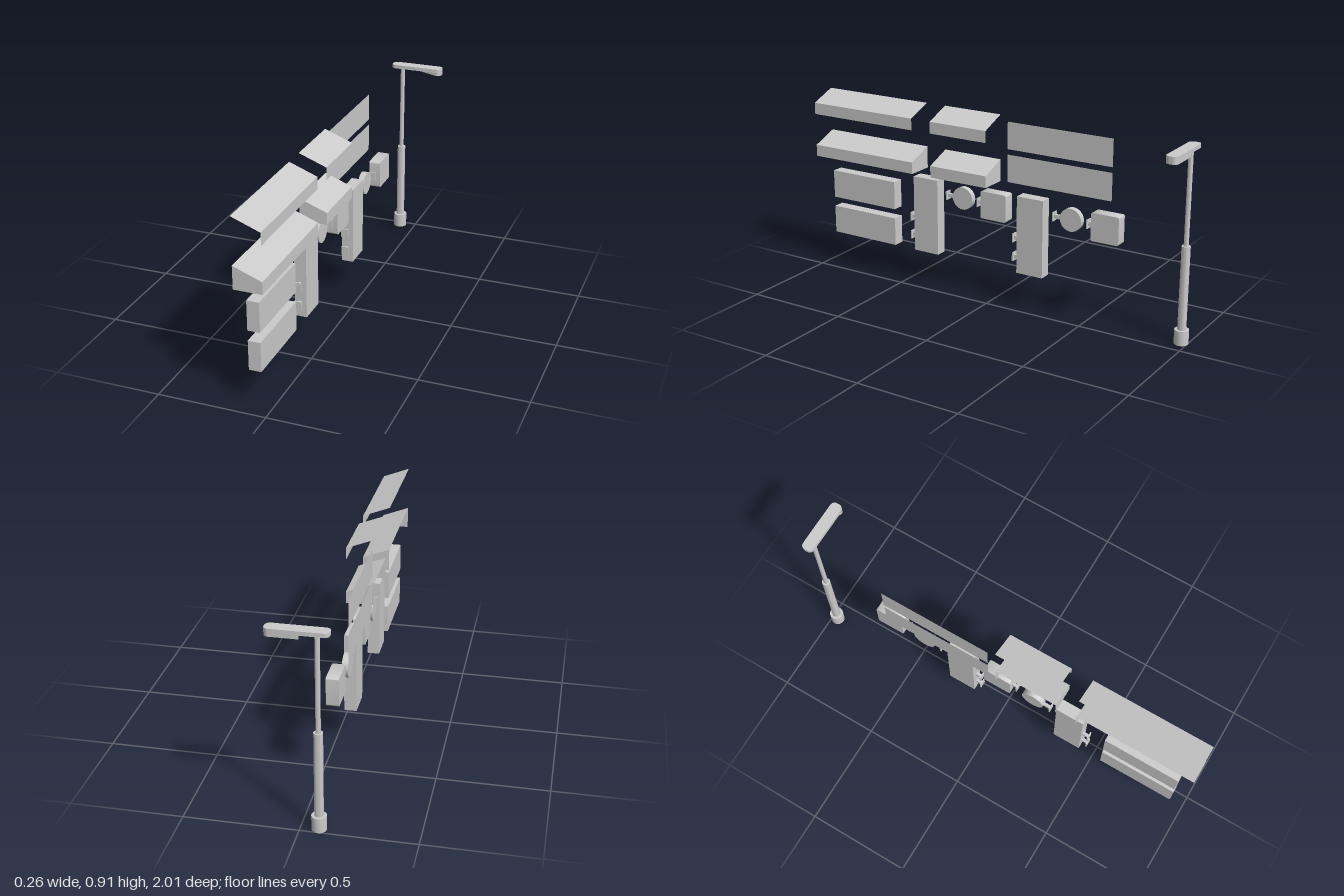
import * as THREE from 'three';
import { toCreasedNormals } from 'three/addons/utils/BufferGeometryUtils.js';

const grey = new THREE.MeshStandardMaterial({ color: 0xcccccc });
const thin = new THREE.MeshStandardMaterial({ color: 0xcccccc, side: THREE.DoubleSide });

function add(parent, name, geometry, material = grey) {
  const mesh = new THREE.Mesh(geometry, material);
  mesh.name = name;
  parent.add(mesh);
  return mesh;
}

function group(parent, name) {
  const g = new THREE.Group();
  g.name = name;
  parent.add(g);
  return g;
}

// Box given by its limits on each axis
function box(parent, name, x0, x1, y0, y1, z0, z1) {
  const mesh = add(parent, name, new THREE.BoxGeometry(x1 - x0, y1 - y0, z1 - z0));
  mesh.position.set((x0 + x1) / 2, (y0 + y1) / 2, (z0 + z1) / 2);
}

// Rectangle with rounded corners, centred on the origin
function roundedRect(w, h, r) {
  const s = new THREE.Shape(), a = w / 2, b = h / 2;
  s.absarc(a - r, b - r, r, 0, Math.PI / 2);
  s.absarc(-a + r, b - r, r, Math.PI / 2, Math.PI);
  s.absarc(-a + r, -b + r, r, Math.PI, Math.PI * 1.5);
  s.absarc(a - r, -b + r, r, Math.PI * 1.5, Math.PI * 2);
  s.closePath();
  return s;
}

// Slab cut from a shape, with sharp rims and smooth corners
function slab(shape, depth, curveSegments) {
  const g = new THREE.ExtrudeGeometry(shape, { depth, bevelEnabled: false, curveSegments });
  return toCreasedNormals(g.translate(0, 0, -depth / 2), 0.7);
}

// Wall plate and arm, reaching from z0 (sign) to z1 (wall)
function bracket(parent, x, y, z0, z1) {
  const g = group(parent, 'signBracket');
  box(g, 'bracketPlate', x - 0.017, x + 0.017, y - 0.021, y + 0.021, z1 - 0.006, z1);
  box(g, 'bracketArm', x - 0.007, x + 0.007, y - 0.009, y + 0.009, z0 - 0.004, z1 - 0.006);
}

// Open awning: sloping roof and valance, with optional side cheeks
function awning(parent, name, z0, z1, yBase, closed) {
  const g = group(parent, name);
  const back = -0.125, front = 0.005, yTop = yBase + 0.107, yEdge = yBase + 0.057;
  const dx = front - back, dy = yTop - yEdge, len = z1 - z0, zMid = (z0 + z1) / 2;
  const roof = new THREE.PlaneGeometry(Math.hypot(dx, dy), len).rotateX(-Math.PI / 2);
  roof.rotateZ(-Math.atan2(dy, dx)).translate((back + front) / 2, (yTop + yEdge) / 2, zMid);
  add(g, 'awningRoof', roof, thin);
  const valance = new THREE.PlaneGeometry(len, yEdge - yBase).rotateY(Math.PI / 2);
  add(g, 'awningValance', valance.translate(front, (yEdge + yBase) / 2, zMid), thin);
  if (!closed) return;
  const cheek = new THREE.Shape([
    new THREE.Vector2(back, yBase), new THREE.Vector2(front, yBase),
    new THREE.Vector2(front, yEdge), new THREE.Vector2(back, yTop),
  ]);
  for (const z of [z0, z1]) add(g, 'awningCheek', new THREE.ShapeGeometry(cheek), thin).position.z = z;
}

export function createModel() {
  const model = new THREE.Group();
  model.name = 'streetFurnitureKit';

  // Awnings: open-sided above, closed-sided below
  for (const [z0, z1] of [[0.415, 1], [0, 0.31]]) {
    awning(model, 'openAwning', z0, z1, 0.794, false);
    awning(model, 'closedAwning', z0, z1, 0.578, true);
  }

  // Flat wall panels
  for (const [y0, y1] of [[0.74, 0.872], [0.58, 0.714]]) {
    const panel = new THREE.PlaneGeometry(0.546, y1 - y0).rotateY(Math.PI / 2);
    add(model, 'flatPanel', panel, thin).position.set(-0.125, (y0 + y1) / 2, -0.312);
  }

  // Long box signs
  for (const [y0, y1] of [[0.36, 0.5], [0.173, 0.312]])
    box(model, 'longSign', -0.1, -0.043, y0, y1, 0.56, 0.935);

  // Two sets of hanging signs: upright, round and square
  for (const [zUpright, zRound, zSquare] of [[0.373, 0.177, -0.01], [-0.209, -0.408, -0.595]]) {
    const upright = group(model, 'uprightSign');
    box(upright, 'uprightBox', -0.1, -0.043, 0.172, 0.55, zUpright - 0.069, zUpright + 0.069);
    for (const y of [0.335, 0.241]) bracket(upright, -0.073, y, zUpright + 0.069, zUpright + 0.102);

    const round = group(model, 'roundSign');
    const disc = new THREE.CylinderGeometry(0.055, 0.055, 0.028, 24).rotateZ(Math.PI / 2);
    add(round, 'roundDisc', disc).position.set(-0.083, 0.475, zRound);
    bracket(round, -0.083, 0.475, zRound + 0.052, zRound + 0.094);

    const square = group(model, 'squareSign');
    const body = slab(roundedRect(0.139, 0.134, 0.008), 0.057, 3).rotateY(Math.PI / 2);
    add(square, 'squareBox', body).position.set(-0.0715, 0.474, zSquare);
    bracket(square, -0.073, 0.475, zSquare + 0.069, zSquare + 0.1);
  }

  // Street lamp: stepped pole and two-layer head
  const lamp = group(model, 'streetLamp');
  lamp.position.z = -0.972;
  const profile = [[0.033, 0], [0.033, 0.068], [0.02, 0.068], [0.02, 0.46], [0.011, 0.46], [0.011, 0.9]]
    .map(([r, y]) => new THREE.Vector2(r, y));
  const pole = toCreasedNormals(new THREE.LatheGeometry(profile, 16), 0.7);
  add(lamp, 'lampPole', pole, thin).position.x = -0.079;
  for (const [name, x0, y0, y1] of [['lampHead', -0.132, 0.896, 0.914], ['lampLens', -0.012, 0.88, 0.896]]) {
    // The lens is square at the pole side and rounded at the tip
    const s = name === 'lampHead' ? roundedRect(0.131 - x0, 0.056, 0.022) : new THREE.Shape();
    const a = (0.131 - x0) / 2;
    if (name === 'lampLens') {
      s.moveTo(-a, -0.028);
      s.absarc(a - 0.022, -0.006, 0.022, -Math.PI / 2, 0);
      s.absarc(a - 0.022, 0.006, 0.022, 0, Math.PI / 2);
      s.lineTo(-a, 0.028);
      s.closePath();
    }
    const part = slab(s, y1 - y0, 3).rotateX(-Math.PI / 2);
    add(lamp, name, part).position.set((x0 + 0.131) / 2, (y0 + y1) / 2, 0);
  }

  return model;
}
